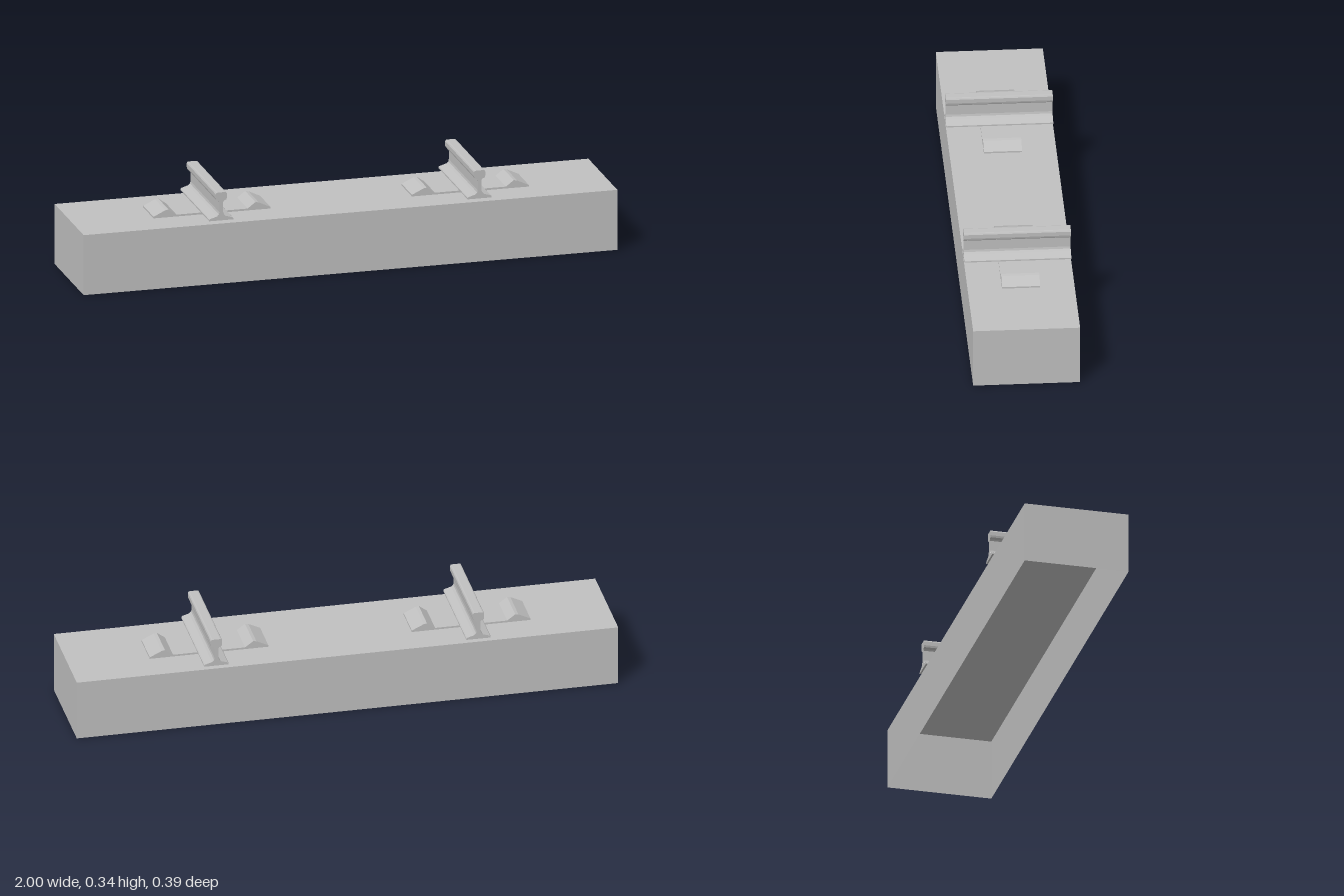
import * as THREE from 'three';

// Extrude a left-right symmetric profile, given as its right half from bottom to top
function symmetricBar(half, depth, material, name) {
  const mirrored = half.map(([x, y]) => [-x, y]).reverse();
  const shape = new THREE.Shape([...half, ...mirrored].map(([x, y]) => new THREE.Vector2(x, y)));
  const geometry = new THREE.ExtrudeGeometry(shape, { depth, bevelEnabled: false });
  geometry.translate(0, 0, -depth / 2);
  const mesh = new THREE.Mesh(geometry, material);
  mesh.name = name;
  return mesh;
}

export function createModel() {
  const group = new THREE.Group();
  group.name = 'railwayTrackSection';

  const grey = new THREE.MeshStandardMaterial({ color: 0xc0c0c0, side: THREE.DoubleSide });
  grey.name = 'grey';

  const width = 2, depth = 0.387, sleeperTop = 0.227;

  // Sleeper: thin shell, open underneath (the box's bottom face is left out)
  const box = new THREE.BoxGeometry(width, sleeperTop, depth);
  const index = Array.from(box.index.array);
  index.splice(18, 6);
  box.setIndex(index);
  box.clearGroups();
  const sleeper = new THREE.Mesh(box, grey);
  sleeper.name = 'sleeper';
  sleeper.position.y = sleeperTop / 2;
  group.add(sleeper);

  // Rail section: foot, web and head
  const railProfile = [
    [0.045, 0.239], [0.045, 0.244], [0.042, 0.247], [0.016, 0.255], [0.009, 0.262],
    [0.007, 0.27], [0.007, 0.308], [0.01, 0.313], [0.019, 0.317], [0.021, 0.324],
    [0.021, 0.339], [0.018, 0.344], [0.014, 0.345],
  ];

  // Base plate with a wedge-shaped shoulder at each end
  const plateProfile = [
    [0.219, sleeperTop], [0.219, 0.233], [0.175, 0.254], [0.163, 0.256], [0.133, 0.234],
  ];

  for (const side of [-1, 1]) {
    const track = new THREE.Group();
    track.name = side > 0 ? 'leftRailAssembly' : 'rightRailAssembly';
    track.position.x = side * 0.484;
    track.add(symmetricBar(railProfile, depth, grey, 'rail'));
    track.add(symmetricBar(plateProfile, 0.138, grey, 'basePlate'));
    group.add(track);
  }

  return group;
}
